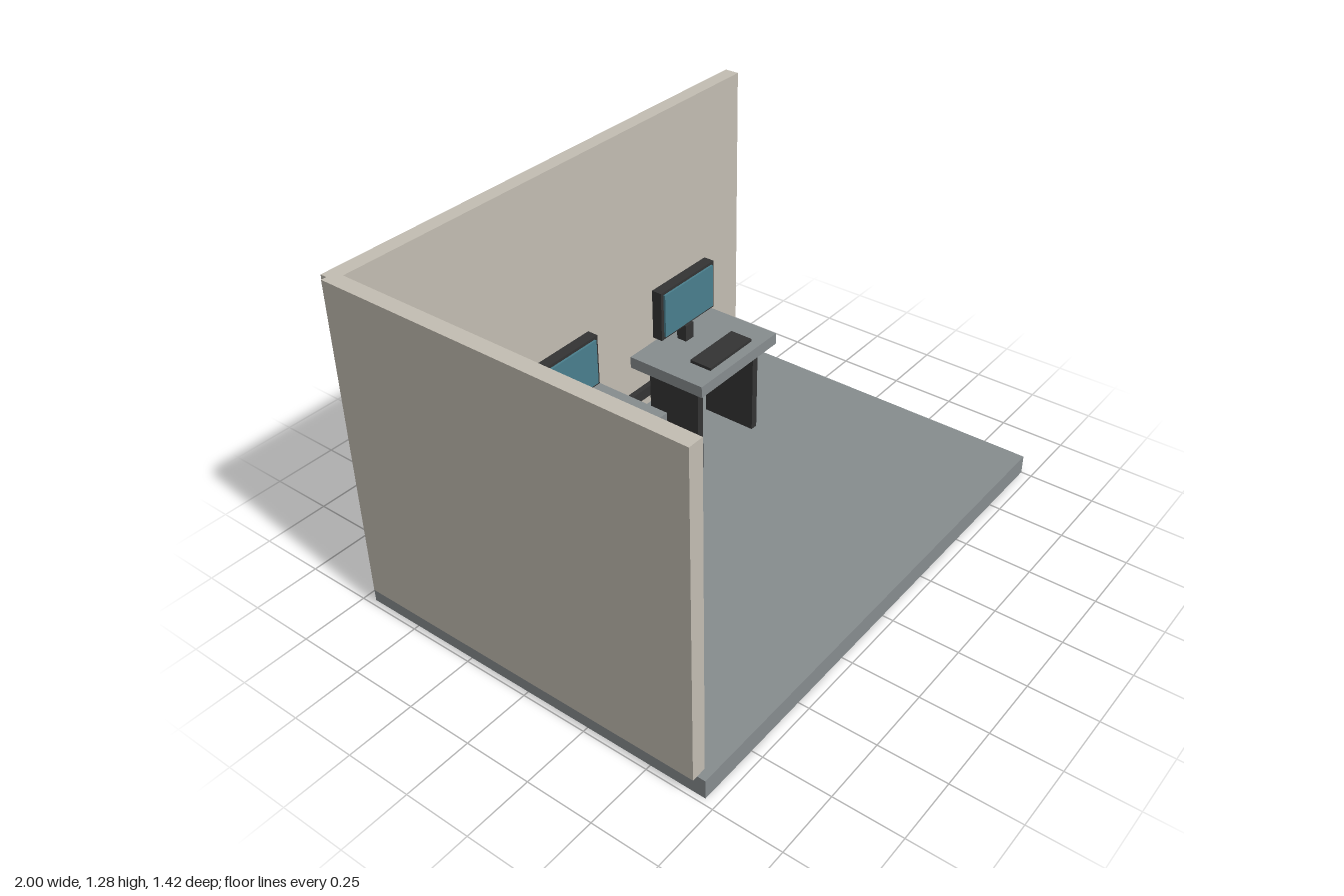
import * as THREE from 'three';

const mat = (name, color) => {
  const m = new THREE.MeshStandardMaterial({ color });
  m.name = name;
  return m;
};

// Box given by its min/max extents on each axis
function box(parent, name, material, [x0, x1], [y0, y1], [z0, z1]) {
  const mesh = new THREE.Mesh(new THREE.BoxGeometry(x1 - x0, y1 - y0, z1 - z0), material);
  mesh.position.set((x0 + x1) / 2, (y0 + y1) / 2, (z0 + z1) / 2);
  mesh.name = name;
  parent.add(mesh);
}

export function createModel() {
  const wall = mat('warm beige', 0xc4beb3);
  const grey = mat('slate grey', 0x878d8f);
  const dark = mat('charcoal', 0x343434);
  const blue = mat('screen teal', 0x4a7f8e);

  const room = new THREE.Group();
  room.name = 'officeRoom';

  // Floor slab, two walls and the rail along the back wall
  box(room, 'floor', grey, [-0.98, 1], [0, 0.074], [-0.709, 0.709]);
  box(room, 'backWall', wall, [-0.98, 1], [0.074, 1.276], [-0.708, -0.651]);
  box(room, 'sideWall', wall, [-1, -0.944], [0.075, 1.276], [-0.682, 0.679]);
  box(room, 'wallRail', dark, [-0.944, 0.985], [0.129, 0.174], [-0.651, -0.628]);

  // Two identical workstations
  for (const x of [-0.285, 0.367]) {
    const desk = new THREE.Group();
    desk.name = 'workstation';
    desk.position.x = x;
    box(desk, 'deskTop', grey, [-0.228, 0.228], [0.45, 0.496], [-0.494, -0.165]);
    for (const s of [-0.169, 0.169])
      box(desk, 'deskLeg', dark, [s - 0.015, s + 0.015], [0.074, 0.45], [-0.44, -0.217]);
    box(desk, 'keyboard', dark, [-0.125, 0.125], [0.496, 0.508], [-0.297, -0.205]);
    box(desk, 'monitorStand', dark, [-0.022, 0.022], [0.496, 0.562], [-0.439, -0.397]);
    box(desk, 'monitor', dark, [-0.154, 0.154], [0.562, 0.759], [-0.445, -0.404]);
    box(desk, 'screen', blue, [-0.14, 0.14], [0.574, 0.748], [-0.404, -0.396]);
    room.add(desk);
  }
  return room;
}
